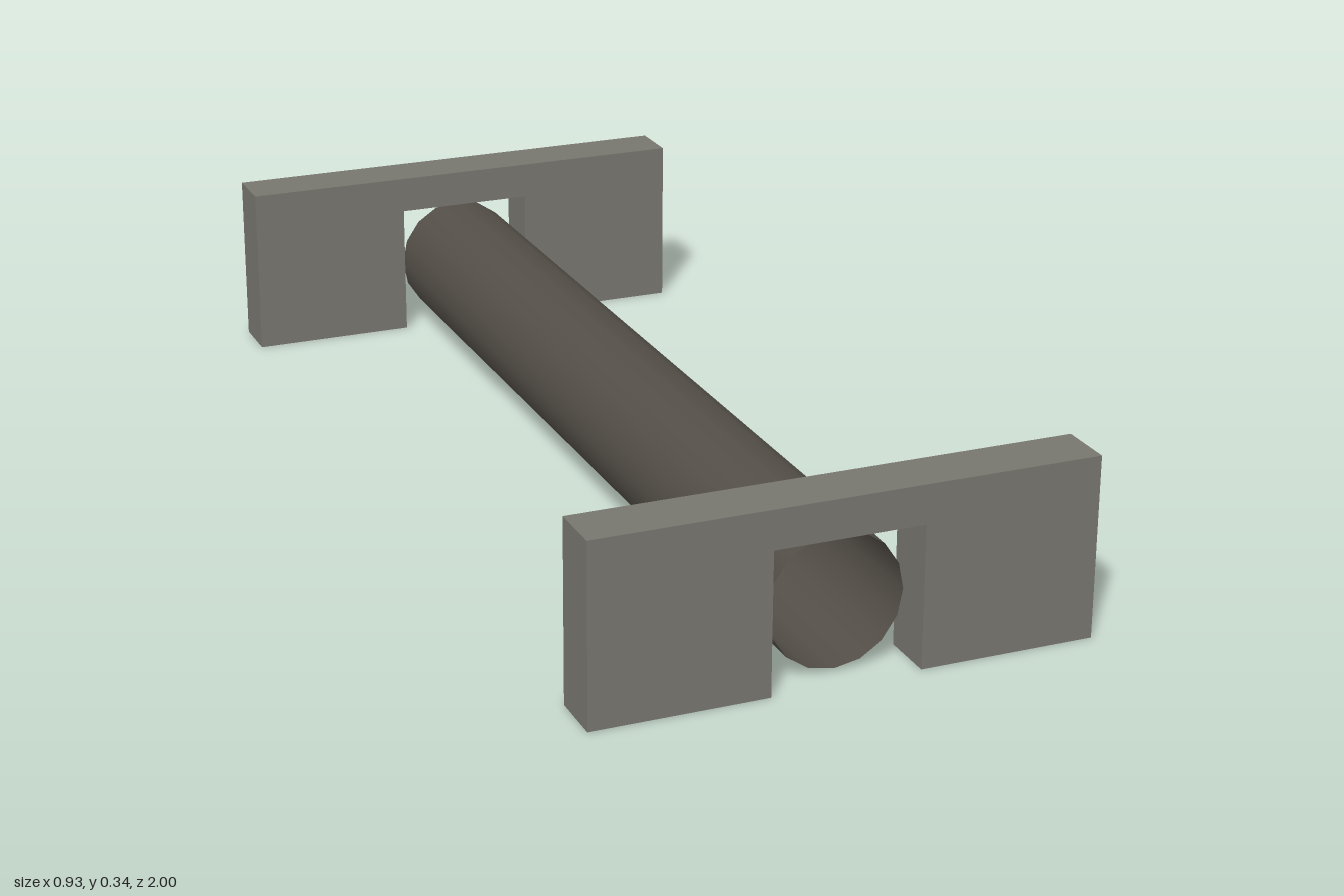
import * as THREE from 'three';

export function createModel() {
  const group = new THREE.Group();
  const concrete = new THREE.MeshStandardMaterial({ name: 'concrete', color: 0x77766e });
  const darkPipe = new THREE.MeshStandardMaterial({ name: 'dark pipe', color: 0x544f48, side: THREE.DoubleSide });

  // Headwall outline: a slab with a rectangular opening at its foot
  const W = 0.463, H = 0.337, w = 0.138, h = 0.265, depth = 0.104;
  const outline = new THREE.Shape([
    [-W, 0], [-w, 0], [-w, h], [w, h], [w, 0], [W, 0], [W, H], [-W, H],
  ].map(([x, y]) => new THREE.Vector2(x, y)));
  const wallGeometry = new THREE.ExtrudeGeometry(outline, { depth, bevelEnabled: false });

  // One headwall at each end
  for (const [name, z] of [['frontHeadwall', 1 - depth], ['backHeadwall', -1]]) {
    const wall = new THREE.Mesh(wallGeometry, concrete);
    wall.name = name;
    wall.position.z = z;
    group.add(wall);
  }

  // Open thin pipe, ending halfway into each headwall
  const pipeGeometry = new THREE.CylinderGeometry(0.125, 0.125, 1.9, 16, 1, true);
  pipeGeometry.rotateX(Math.PI / 2);
  const pipe = new THREE.Mesh(pipeGeometry, darkPipe);
  pipe.name = 'culvertPipe';
  pipe.position.y = 0.13;
  group.add(pipe);

  return group;
}
